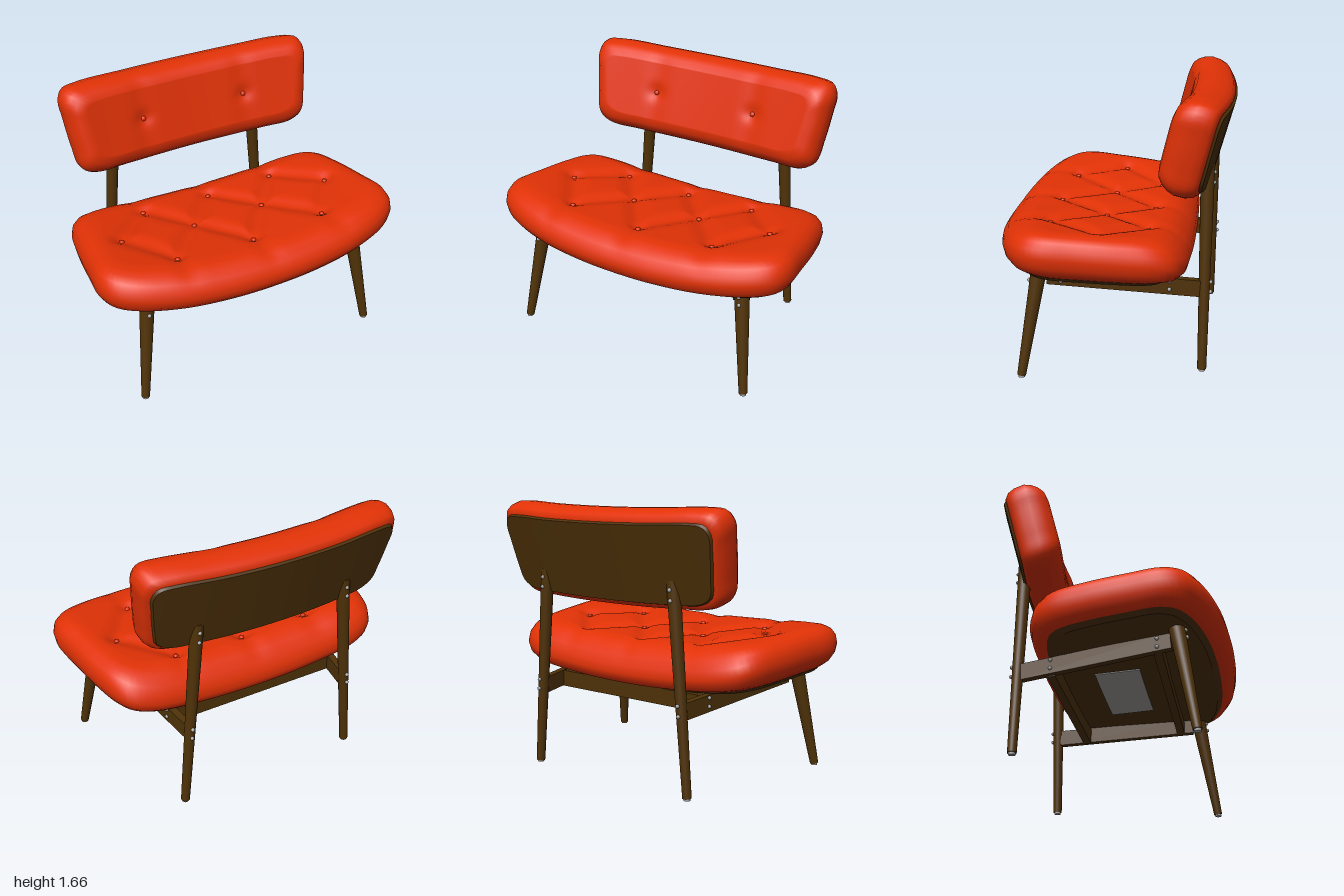
import * as THREE from 'three';
import { mergeVertices, toCreasedNormals } from 'three/addons/utils/BufferGeometryUtils.js';

const flat = (name, color) => {
  const m = new THREE.MeshStandardMaterial({ color });
  m.name = name;
  return m;
};
const V = (x, y, z) => new THREE.Vector3(x, y, z);
const clamp = THREE.MathUtils.clamp;

// Closed smooth outline in x/z, mirrored from a half running front to back
function outlineOf(half) {
  const right = half.map(([x, z]) => V(x, 0, z));
  const left = half.slice(1, -1).reverse().map(([x, z]) => V(-x, 0, z));
  const curve = new THREE.CatmullRomCurve3([...right, ...left], true, 'centripetal');
  return curve.getSpacedPoints(144).slice(0, 144);
}

// Rings [inset, scale, height] covering a flat disc, from its centre out
const disc = (inset, y, n) => Array.from({ length: n + 1 }, (_, i) => [inset, i / n, y]);

// Skin of rings around an outline, each vertex bent by place(x, y, z)
function slab(outline, hx, hz, cz, rings, place) {
  const pos = [], idx = [], n = outline.length;
  rings.forEach(([d, s, y]) => outline.forEach((p) => {
    const x = p.x * (1 - d / hx) * s;
    const z = cz + (p.z - cz) * (1 - d / hz) * s;
    pos.push(x, place(x, y, z), z);
  }));
  for (let i = 0; i < rings.length - 1; i++) {
    for (let j = 0; j < n; j++) {
      const a = i * n + j, b = i * n + (j + 1) % n;
      if (rings[i][1] > 0) idx.push(a, b, a + n);
      if (rings[i + 1][1] > 0) idx.push(b, b + n, a + n);
    }
  }
  const g = new THREE.BufferGeometry();
  g.setAttribute('position', new THREE.Float32BufferAttribute(pos, 3));
  g.setIndex(idx);
  const merged = mergeVertices(g, 1e-5);
  merged.computeVertexNormals();
  return merged;
}

// Distance from (x, z) to the segment a-b
function segDist(x, z, [ax, az], [bx, bz]) {
  const dx = bx - ax, dz = bz - az;
  const t = clamp(((x - ax) * dx + (z - az) * dz) / (dx * dx + dz * dz), 0, 1);
  return Math.hypot(x - ax - t * dx, z - az - t * dz);
}
const dip = (dist, width) => Math.exp(-((dist / width) ** 2));

export function createModel() {
  const chair = new THREE.Group();
  chair.name = 'loungeChair';
  const fabric = flat('orangeFabric', 0xe23206);
  const wood = flat('darkWood', 0x4f3208);
  const metal = flat('greyMetal', 0xa6a4a2);

  const add = (name, geo, mat, parent = chair) => {
    const m = new THREE.Mesh(geo, mat);
    m.name = name;
    parent.add(m);
    return m;
  };

  // ---- Seat: tuft layout and curvature
  const rows = [
    [[-0.46, -0.21], [0, -0.21], [0.46, -0.21]],
    [[-0.72, 0.06], [-0.24, 0.07], [0.24, 0.07], [0.72, 0.06]],
    [[-0.5, 0.37], [0, 0.39], [0.5, 0.37]],
  ];
  const creases = [];
  for (const m of rows[1]) {
    for (const o of [...rows[0], ...rows[2]]) {
      if (Math.abs(m[0] - o[0]) < 0.3) creases.push([m, o, 1]);
    }
  }
  rows[0].forEach((p) => creases.push([p, [p[0], -0.4], 0.4]));
  rows[2].forEach((p) => creases.push([p, [p[0] * 1.05, 0.6], 0.5]));

  const seatPlace = (x, y, z) => {
    const bend = 0.066 + 0.036 * clamp(y / 0.2, 0, 1);
    const base = 0.642 + 0.06 * (z - 0.6) + bend * x * x - 0.7 * Math.max(0, -0.25 - z) ** 2;
    const w = clamp((y - 0.17) / 0.05, 0, 1);
    if (w === 0) return base + y;
    let fold = 0, knob = 0;
    for (const [a, b, k] of creases) fold = Math.max(fold, k * dip(segDist(x, z, a, b), 0.06));
    for (const p of rows.flat()) knob = Math.max(knob, dip(Math.hypot(x - p[0], z - p[1]), 0.045));
    return base + y + w * (0.026 * (1 - x * x) - 0.026 * fold - 0.014 * knob);
  };
  const seatOutline = outlineOf([
    [0, 0.688], [0.3, 0.678], [0.6, 0.638], [0.85, 0.555], [0.96, 0.47], [1, 0.36], [0.985, 0.15],
    [0.955, -0.1], [0.91, -0.3], [0.85, -0.39], [0.72, -0.44], [0.4, -0.46], [0, -0.465],
  ]);
  const seatSkin = (rings) => slab(seatOutline, 1, 0.46, 0.11, rings, seatPlace);

  add('seatCushion', seatSkin([
    ...disc(0.07, 0, 6), [0.035, 1, 0.02], [0.01, 1, 0.055], [0, 1, 0.1], [0.008, 1, 0.145],
    [0.032, 1, 0.182], [0.07, 1, 0.206], [0.11, 1, 0.218], ...disc(0.15, 0.222, 36).reverse(),
  ]), fabric);
  add('seatBoard', toCreasedNormals(seatSkin([
    ...disc(0.1, -0.024, 8), ...disc(0.065, 0.008, 8).reverse(),
  ]), 0.6), wood);

  // Thin plate under the seat
  const plate = new THREE.BoxGeometry(0.65, 0.006, 0.27, 12, 1, 2);
  const pp = plate.attributes.position;
  for (let i = 0; i < pp.count; i++) {
    pp.setY(i, seatPlace(pp.getX(i), pp.getY(i) - 0.028, pp.getZ(i)));
  }
  plate.computeVertexNormals();
  add('undersidePlate', plate, metal);

  const buttonGeo = new THREE.SphereGeometry(0.016, 14, 10);
  const button = (name, x, z, place, top, parent) => {
    const b = add(name, buttonGeo, fabric, parent);
    b.position.set(x, place(x, top, z) + 0.004, z);
    b.scale.y = 0.7;
  };
  rows.flat().forEach(([x, z]) => button('seatButton', x, z, seatPlace, 0.222, chair));

  // ---- Backrest: modelled lying down (y towards the sitter, z down), then tilted up
  const back = new THREE.Group();
  back.name = 'backrest';
  back.position.set(0, 1.366, -0.498);
  back.rotation.x = Math.PI / 2 - 0.27;
  chair.add(back);
  const backButtons = [[-0.35, 0.008], [0.35, 0.008]];
  const backPlace = (x, y, z) => {
    const w = clamp((y - 0.06) / 0.05, 0, 1);
    let dent = 0;
    for (const [bx, bz] of backButtons) {
      dent += 0.018 * dip(Math.hypot(x - bx, z - bz), 0.05) + 0.008 * dip(x - bx, 0.07);
    }
    return y + 0.11 * x * x + w * (0.016 - dent);
  };
  const backOutline = outlineOf([
    [0, 0.287], [0.5, 0.287], [0.7, 0.28], [0.78, 0.23], [0.808, 0.1], [0.832, -0.1],
    [0.84, -0.2], [0.805, -0.268], [0.7, -0.287], [0.4, -0.287], [0, -0.287],
  ]);
  const backSkin = (rings) => slab(backOutline, 0.84, 0.287, 0, rings, backPlace);
  add('backCushion', backSkin([
    ...disc(0.04, -0.125, 6), [0.015, 1, -0.1], [0.003, 1, -0.06], [0, 1, 0], [0.01, 1, 0.04],
    [0.03, 1, 0.075], [0.06, 1, 0.1], ...disc(0.1, 0.11, 28).reverse(),
  ]), fabric, back);
  add('backBoard', toCreasedNormals(backSkin([
    ...disc(0.055, -0.14, 8), ...disc(0.035, -0.1, 8).reverse(),
  ]), 0.6), wood, back);
  backButtons.forEach(([x, z]) => button('backButton', x, z, backPlace, 0.11, back));

  // ---- Wooden frame
  const pole = (name, a, b, ra, rb, mat) => {
    const dir = b.clone().sub(a);
    const m = add(name, new THREE.CylinderGeometry(rb, ra, dir.length(), 24), mat);
    m.position.copy(a).lerp(b, 0.5);
    m.quaternion.setFromUnitVectors(V(0, 1, 0), dir.normalize());
  };
  const screwGeo = new THREE.SphereGeometry(0.012, 10, 8);

  for (const s of [1, -1]) {
    const side = s > 0 ? 'left' : 'right';
    pole(side + 'FrontLeg', V(s * 0.805, 0.012, 0.5), V(s * 0.718, 0.66, 0.395), 0.026, 0.047, wood);
    pole(side + 'BackLeg', V(s * 0.595, 0.012, -0.545), V(s * 0.495, 1.25, -0.547), 0.027, 0.041, wood);
    pole(side + 'FrontGlide', V(s * 0.805, 0, 0.5), V(s * 0.805, 0.016, 0.5), 0.02, 0.02, metal);
    pole(side + 'BackGlide', V(s * 0.595, 0, -0.545), V(s * 0.595, 0.016, -0.545), 0.02, 0.02, metal);

    // Sloping side rail joining front and back legs
    const a = V(s * 0.67, 0.594, 0.36), b = V(s * 0.553, 0.51, -0.53);
    const rail = add(side + 'Rail', new THREE.BoxGeometry(0.045, 0.1, a.distanceTo(b)), wood);
    rail.position.copy(a).lerp(b, 0.5);
    rail.lookAt(b);

    // Paired screws on the legs and rails
    [
      [0.726, 0.63, 0.447], [0.732, 0.583, 0.454],
      [0.553, 0.55, -0.582], [0.558, 0.49, -0.582],
      [0.499, 1.2, -0.587], [0.504, 1.14, -0.586],
      [0.683, 0.612, 0.28], [0.683, 0.562, 0.28],
      [0.6, 0.562, -0.345], [0.6, 0.51, -0.345],
    ].forEach(([x, y, z]) => add('screw', screwGeo, metal).position.set(s * x, y, z));
  }

  // Cross rails
  add('frontCrossRail', new THREE.BoxGeometry(1.3, 0.1, 0.05), wood).position.set(0, 0.588, 0.28);
  add('backCrossRail', new THREE.BoxGeometry(1.14, 0.1, 0.05), wood).position.set(0, 0.522, -0.345);

  return chair;
}
